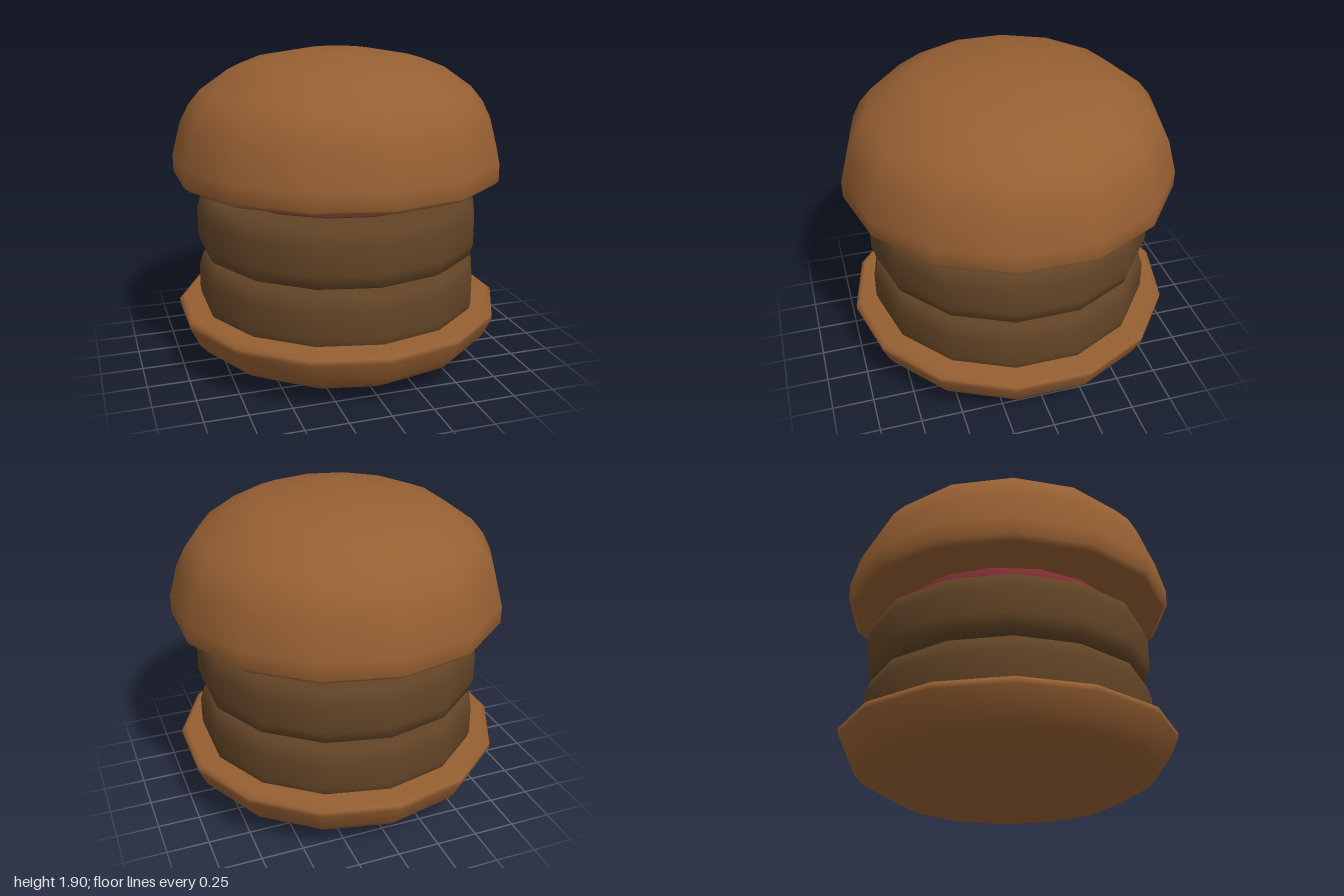
import * as THREE from 'three';

const material = (name, color) => new THREE.MeshStandardMaterial({ name, color });

// Revolves a [radius, height] outline, listed from bottom to top
function turned(name, outline, sides, mat, y = 0) {
  const points = outline.map(([r, h]) => new THREE.Vector2(r, h));
  const mesh = new THREE.Mesh(new THREE.LatheGeometry(points, sides), mat);
  mesh.name = name;
  mesh.position.y = y;
  return mesh;
}

export function createModel() {
  const bun = material('toasted bun', 0x965f32);
  const meat = material('grilled meat', 0x624426);
  const tomato = material('tomato red', 0x8a3238);

  const model = new THREE.Group();
  model.name = 'burger';

  // Shallow bowl-shaped lower bun
  model.add(turned('bottomBun', [
    [0, 0], [0.57, 0], [0.7, 0.03], [0.89, 0.14], [0.945, 0.2],
    [1, 0.315], [1, 0.345], [0.97, 0.365], [0, 0.365],
  ], 14, bun));

  // Two identical patties with rounded rims
  const patty = [
    [0, 0], [0.8, 0], [0.845, 0.025], [0.867, 0.1],
    [0.867, 0.265], [0.84, 0.345], [0.785, 0.375], [0, 0.375],
  ];
  model.add(turned('lowerPatty', patty, 14, meat, 0.303));
  model.add(turned('upperPatty', patty, 14, meat, 0.68));

  // Thin tomato slice with a slight bevel
  model.add(turned('tomatoSlice', [
    [0, 1.05], [0.685, 1.05], [0.697, 1.07], [0.697, 1.14], [0.685, 1.16], [0, 1.16],
  ], 16, tomato));

  // Domed upper bun with a flat crown
  model.add(turned('topBun', [
    [0, 1.152], [0.97, 1.152], [1, 1.18], [1, 1.28], [0.948, 1.475], [0.895, 1.58],
    [0.82, 1.67], [0.65, 1.79], [0.51, 1.845], [0.208, 1.9], [0, 1.9],
  ], 14, bun));

  return model;
}
